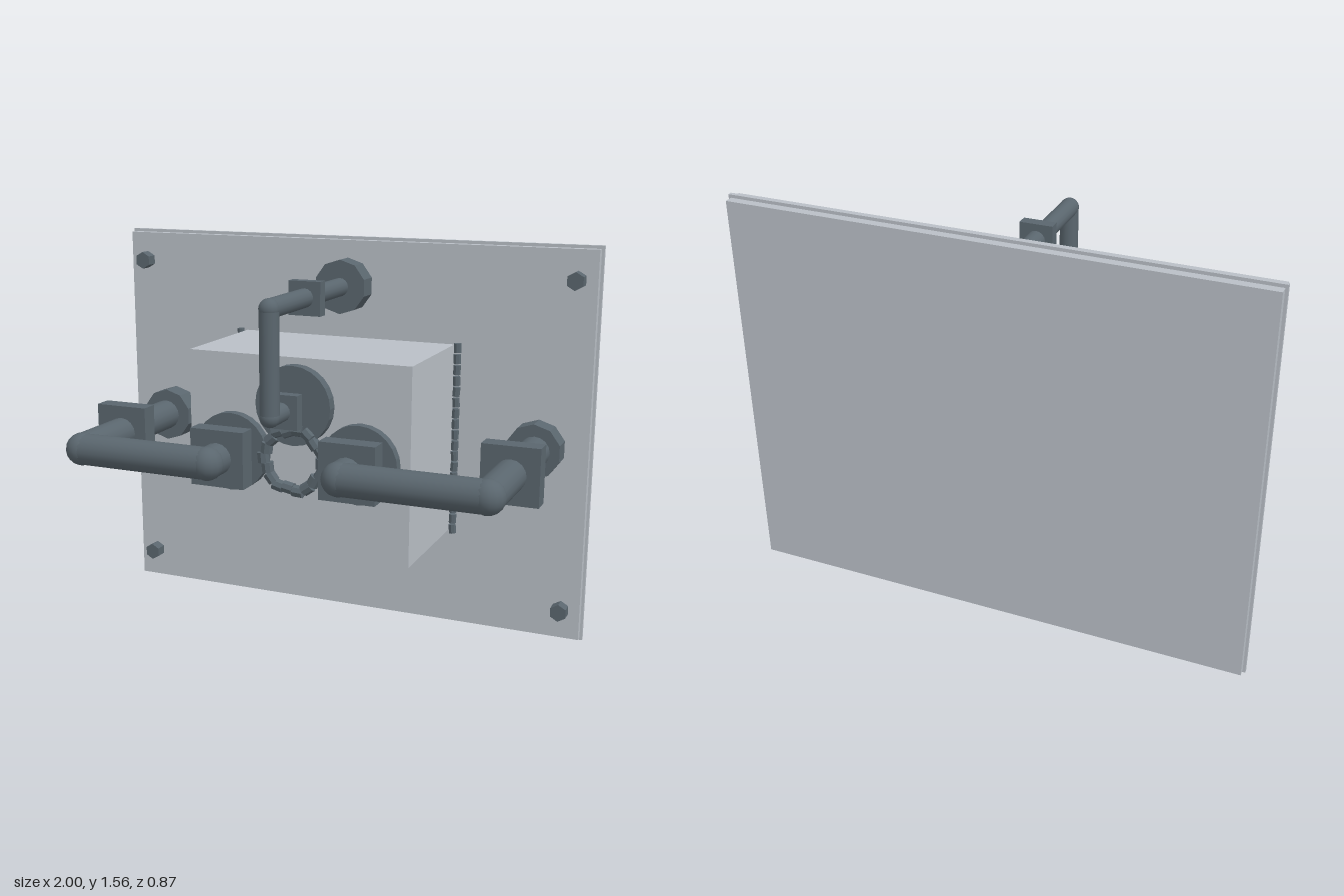
import * as THREE from 'three';

export function createModel() {
  const model = new THREE.Group();
  const paleSteel = new THREE.MeshStandardMaterial({ color: 0xb9bfc6 });
  paleSteel.name = 'paleSteel';
  const darkIron = new THREE.MeshStandardMaterial({ color: 0x5a666e });
  darkIron.name = 'darkIron';
  const flatIron = darkIron.clone();
  flatIron.name = 'darkIronFaceted';
  flatIron.flatShading = true;

  const add = (name, geometry, material, x = 0, y = 0, z = 0) => {
    const mesh = new THREE.Mesh(geometry, material);
    mesh.name = name;
    mesh.position.set(x, y, z);
    model.add(mesh);
    return mesh;
  };
  const box = (name, w, h, d, material, x, y, z) =>
    add(name, new THREE.BoxGeometry(w, h, d), material, x, y, z);
  // Disc with its axis along z, between two depths
  const disc = (name, r, sides, x, y, z0, z1, material = flatIron) =>
    add(name, new THREE.CylinderGeometry(r, r, z1 - z0, sides).rotateX(Math.PI / 2),
      material, x, y, (z0 + z1) / 2);
  // Straight rod between two points
  const rod = (name, a, b, r, sides, material) => {
    const dir = b.clone().sub(a);
    const mid = a.clone().add(b).multiplyScalar(0.5);
    const mesh = add(name, new THREE.CylinderGeometry(r, r, dir.length(), sides),
      material, mid.x, mid.y, mid.z);
    mesh.quaternion.setFromUnitVectors(new THREE.Vector3(0, 1, 0), dir.normalize());
    return mesh;
  };
  // Pipe through several points, with ball elbows
  const pipe = (name, points, r) => {
    const p = points.map(c => new THREE.Vector3(...c));
    for (let i = 0; i < p.length - 1; i++) {
      rod(name, p[i], p[i + 1], r, 16, darkIron);
      if (i > 0) add(name + 'Elbow', new THREE.SphereGeometry(r * 1.04, 16, 10), darkIron, ...points[i]);
    }
  };

  // Wall plate with a thin ridge along its edges
  box('wallPlate', 1.98, 1.532, 0.082, paleSteel, 0, 0.78, -0.4);
  for (const s of [-1, 1]) {
    box('plateEdgeRidge', 0.01, 1.552, 0.016, paleSteel, s * 0.995, 0.78, -0.4);
    box('plateEdgeRidge', 2, 0.012, 0.016, paleSteel, 0, 0.78 + s * 0.772, -0.4);
  }

  // Central housing
  box('housing', 0.896, 0.755, 0.5, paleSteel, 0, 0.782, -0.11);

  // Corner bolts
  for (const x of [-0.915, 0.915])
    for (const y of [0.133, 1.432]) disc('cornerBolt', 0.035, 6, x, y, -0.36, -0.31);

  // Weld beads beside the housing
  for (const s of [-1, 1]) {
    for (let i = 0; i < 18; i++) {
      const bead = add('weldBead', new THREE.CylinderGeometry(0.015, 0.015, 0.036, 8),
        flatIron, s * 0.468, 0.416 + i * 0.0432, -0.338);
      bead.rotation.z = Math.sin(i * 2.7 + s) * 0.08;
    }
  }

  // Side pipes: wall flange, pipe, housing flange and two square collars
  for (const s of [-1, 1]) {
    const y = 0.784;
    disc('sideWallFlange', 0.108, 10, s * 0.795, y, -0.358, -0.272);
    pipe('sidePipe', [[s * 0.8, y, -0.34], [s * 0.8, y, 0.367], [s * 0.26, y, 0.367], [s * 0.26, y, 0.15]], 0.061);
    disc('sideHousingFlange', 0.151, 24, s * 0.26, y, 0.135, 0.177);
    box('sideOuterCollar', 0.218, 0.218, 0.073, darkIron, s * 0.8, y, 0.048);
    box('sideInnerCollar', 0.218, 0.218, 0.075, darkIron, s * 0.26, y, 0.256);
  }

  // Upper pipe
  disc('upperWallFlange', 0.107, 10, 0, 1.37, -0.358, -0.272);
  pipe('upperPipe', [[0, 1.37, -0.34], [0, 1.37, 0.374], [0, 0.983, 0.374], [0, 0.983, 0.15]], 0.036);
  disc('upperHousingFlange', 0.151, 24, 0, 0.985, 0.135, 0.182);
  box('upperOuterCollar', 0.128, 0.128, 0.043, darkIron, 0, 1.368, 0.05);
  box('upperInnerCollar', 0.128, 0.128, 0.043, darkIron, 0, 0.983, 0.259);

  // Ring of weld beads between the flanges
  for (let i = 0; i < 18; i++) {
    const a = (i / 18) * Math.PI * 2;
    const r = 0.116 + 0.006 * Math.sin(i * 2.3);
    const bead = add('ringBead', new THREE.CylinderGeometry(0.024, 0.024, 0.04, 8),
      flatIron, Math.cos(a) * r, 0.778 + Math.sin(a) * r, 0.177);
    bead.rotation.z = a + 0.25 * Math.sin(i * 1.7);
  }
  return model;
}
